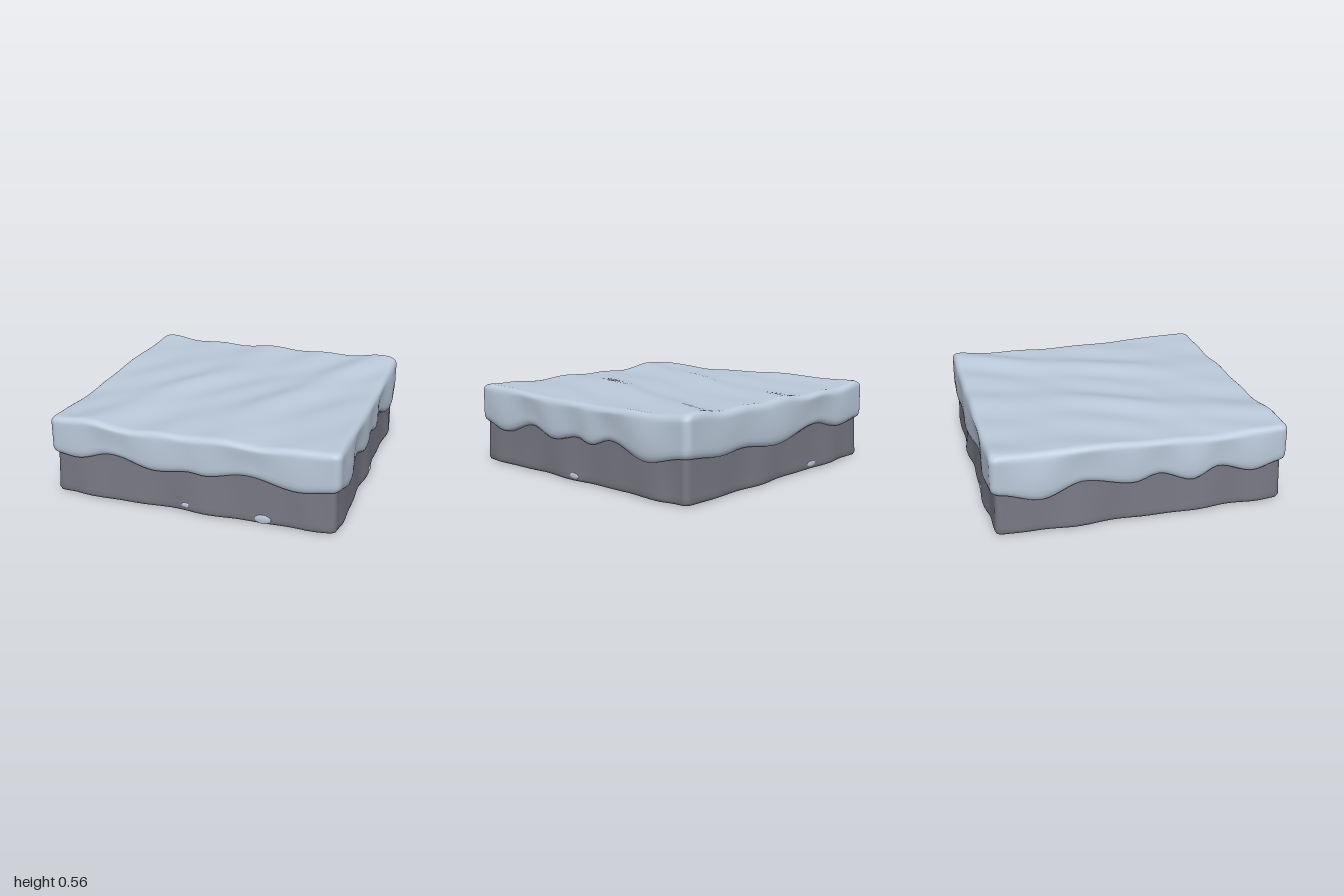
import * as THREE from 'three';

const SEG = 64; // samples along each side
const clamp = THREE.MathUtils.clamp;

// Smooth curve through [position, value] pairs
function through(points, t) {
  if (t <= points[0][0]) return points[0][1];
  for (let i = 1; i < points.length; i++) {
    const [a, va] = points[i - 1], [b, vb] = points[i];
    if (t <= b) return THREE.MathUtils.lerp(va, vb, THREE.MathUtils.smoothstep(t, a, b));
  }
  return points[points.length - 1][1];
}

// Lower edge of the snow on each side: front, right, back, left
const drip = [
  [[-0.96, 0.29], [-0.8, 0.275], [-0.57, 0.328], [-0.23, 0.265], [0, 0.288], [0.1, 0.277], [0.38, 0.32], [0.73, 0.265], [0.96, 0.29]],
  [[-0.96, 0.29], [-0.65, 0.235], [-0.33, 0.318], [-0.15, 0.27], [-0.02, 0.298], [0.2, 0.26], [0.45, 0.32], [0.72, 0.245], [0.96, 0.29]],
  [[-0.96, 0.29], [-0.68, 0.265], [-0.41, 0.318], [0.1, 0.245], [0.45, 0.28], [0.65, 0.265], [0.96, 0.29]],
  [[-0.96, 0.29], [-0.67, 0.235], [-0.4, 0.315], [-0.07, 0.265], [0.1, 0.305], [0.32, 0.24], [0.52, 0.305], [0.74, 0.25], [0.96, 0.29]],
];

// Point k-side, a in -1..1, on a square of half width s with rounded corners
function onSquare(k, a, s, radius) {
  const p = [[a, 1], [1, -a], [-a, -1], [-1, a]][k].map(v => v * s);
  const r = Math.min(radius, s);
  const c = p.map(v => clamp(v, r - s, s - r));
  const d = Math.hypot(p[0] - c[0], p[1] - c[1]) || 1;
  return [c[0] + (p[0] - c[0]) / d * r, c[1] + (p[1] - c[1]) / d * r];
}

// Skin over square loops; place(row, side, a) gives each vertex
function skin(rows, place) {
  const n = SEG * 4, pos = [], index = [];
  rows.forEach((row, i) => {
    for (let j = 0; j < n; j++) {
      const k = Math.floor(j / SEG);
      const a = Math.sin(((j % SEG) / SEG - 0.5) * Math.PI);
      pos.push(...place(row, k, a));
      if (i === rows.length - 1) continue;
      const q = i * n + j, e = i * n + (j + 1) % n;
      index.push(q, e, q + n, e, e + n, q + n);
    }
  });
  const g = new THREE.BufferGeometry();
  g.setAttribute('position', new THREE.Float32BufferAttribute(pos, 3));
  g.setIndex(index);
  g.computeVertexNormals();
  return g;
}

// Wind-blown ripples running diagonally across the top
function snowHeight(x, z) {
  const u = x + 0.35 * z + 0.05 * Math.sin(3.1 * z + 1.5 * x);
  const t = 7.85 * (u - 0.45);
  const patch = 0.65 + 0.35 * Math.sin(2.6 * z + 2.2 * x + 1);
  const ripple = 0.013 * patch * Math.cos(t + 0.6 * Math.sin(t))
    + 0.007 * Math.sin(15 * u + 2.5 * z) * Math.cos(3.5 * z - x)
    + 0.005 * Math.sin(4.2 * z - 2 * x + 0.6);
  const corner = 0.02 * (x * z) ** 4;
  return Math.min(0.543 + ripple + corner, 0.572);
}

// How far the stone swells outwards towards its foot
function stoneSwell(k, w, y) {
  const wave = 0.014 + 0.009 * Math.sin(8.5 * w + k * 1.9) + 0.006 * Math.sin(15 * w + k * 2.7);
  return wave * clamp(1 - y / 0.3, 0, 1) * THREE.MathUtils.smoothstep(1 - Math.abs(w), 0, 0.25);
}

function buildSnow() {
  const rows = []; // [inset, height fraction between lower edge and top]
  rows.push([0.09, 0.03], [0.035, 0], [0.016, 0.015], [0.006, 0.06]);
  for (let f = 0.15; f < 0.8; f += 0.1) rows.push([0, f]);
  for (let i = 0; i <= 6; i++) {
    const t = i / 6 * Math.PI / 2;
    rows.push([0.045 * (1 - Math.cos(t)), 0.83 + 0.17 * Math.sin(t)]);
  }
  for (let d = 0.07; d < 0.96; d += 0.025) rows.push([d, 1]);
  rows.push([0.98, 1]);
  return skin(rows, ([inset, f], k, a) => {
    const edge = through(drip[k], (k === 1 || k === 2 ? -a : a) * 0.98);
    const hang = clamp((0.29 - edge) / 0.055, -0.4, 1);
    const bulge = inset < 0.08 ? 0.02 * hang * Math.sin(Math.PI * clamp(f * 0.8 + 0.3, 0, 1)) : 0;
    const [x, z] = onSquare(k, a, Math.max(0.98 - inset + bulge, 0), 0.05);
    return [x, THREE.MathUtils.lerp(edge, snowHeight(x, z), f), z];
  });
}

function buildStone() {
  const rows = [[0, 0.005], [0.5, 0.005], [0.9, 0.005], [0.935, 0.006], [0.953, 0.013], [0.96, 0.03]];
  for (let y = 0.06; y < 0.4; y += 0.04) rows.push([0.96 - 0.03 * y, y]);
  return skin(rows, ([s, y], k, a) => {
    const swell = s > 0.6 ? stoneSwell(k, a, y) : 0;
    const [x, z] = onSquare(k, a, s + swell, 0.04);
    return [x, y, z];
  });
}

export function createModel() {
  const group = new THREE.Group();
  const snow = new THREE.MeshStandardMaterial({ color: 0xbccadb });
  snow.name = 'snow';
  const stone = new THREE.MeshStandardMaterial({ color: 0x777783 });
  stone.name = 'stone';

  const add = (name, geometry, material) => {
    const mesh = new THREE.Mesh(geometry, material);
    mesh.name = name;
    group.add(mesh);
    return mesh;
  };
  add('stoneBase', buildStone(), stone);
  add('snowCover', buildSnow(), snow);

  // Small snow flecks at the foot: side, position along it, height, width, tallness
  const flecks = [
    [0, -0.03, 0.053, 0.055, 0.035], [0, 0.51, 0.042, 0.11, 0.06],
    [1, 0.0, 0.043, 0.09, 0.04], [2, 0.35, 0.045, 0.1, 0.04],
  ];
  for (const [k, a, y, w, h] of flecks) {
    const [x, z] = onSquare(k, a, 0.958 + stoneSwell(k, a, y), 0.04);
    const fleck = add('snowFleck', new THREE.SphereGeometry(0.5, 16, 10), snow);
    fleck.position.set(x, y, z);
    fleck.rotation.y = k * Math.PI / 2;
    fleck.scale.set(w, h, 0.014);
  }
  return group;
}
